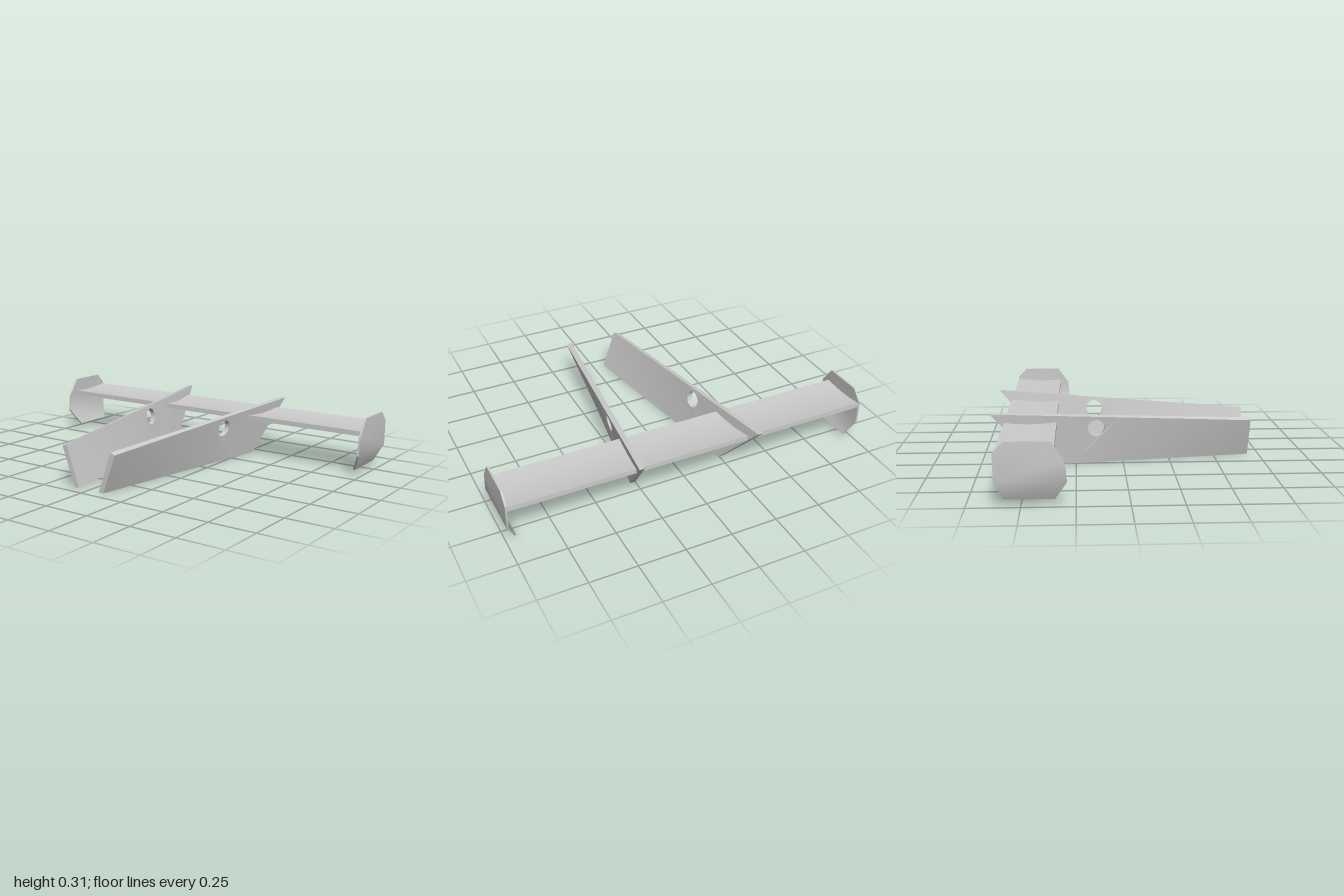
import * as THREE from 'three';
import { toCreasedNormals } from 'three/addons/utils/BufferGeometryUtils.js';
import { mergeGeometries } from 'three/addons/utils/BufferGeometryUtils.js';

const grey = new THREE.MeshStandardMaterial({ color: 0xcccccc });

function polygon(points) {
  return new THREE.Shape(points.map(([z, y]) => new THREE.Vector2(z, y)));
}

// Extrudes a side profile drawn in (z, y) symmetrically along x
function slab(shape, thickness) {
  const g = new THREE.ExtrudeGeometry(shape, { depth: thickness, bevelEnabled: false, curveSegments: 20 });
  g.translate(0, 0, -thickness / 2);
  g.rotateY(-Math.PI / 2);
  return g;
}

// Moves every vertex by a rule
function warp(geometry, rule) {
  const p = geometry.attributes.position;
  const v = new THREE.Vector3();
  for (let i = 0; i < p.count; i++) {
    rule(v.fromBufferAttribute(p, i));
    p.setXYZ(i, v.x, v.y, v.z);
  }
  geometry.computeVertexNormals();
  return geometry;
}

function part(name, geometry) {
  const mesh = new THREE.Mesh(toCreasedNormals(geometry, 0.5), grey);
  mesh.name = name;
  return mesh;
}

const topHeight = (z) => 0.215 + (0.69 - z) * 0.0545;

// Leaning, slightly twisted strut with a round hole
function strut(side) {
  const panel = (z0, z1) => polygon([[z1, 0], [z0, 0], [z0, topHeight(z0)], [z1, topHeight(z1)]]);
  const holed = panel(-0.02, -0.27);
  holed.holes.push(new THREE.Path().absarc(-0.145, 0.197, 0.045, 0, Math.PI * 2, true));
  const tail = polygon([[-0.435, 0], [-0.27, 0], [-0.27, topHeight(-0.27)], [-0.69, 0.29]]);
  const shapes = [panel(0.69, 0.33), panel(0.33, -0.02), holed, tail];
  const geometry = mergeGeometries(shapes.map((s) => slab(s, 0.028)));
  return warp(geometry, (v) => {
    const back = 0.69 - v.z;
    const bottom = 0.08 + 0.163 * back;
    const top = 0.155 + 0.127 * back;
    const t = v.y / topHeight(v.z);
    const outward = v.x * side;
    const lean = (top - bottom) / topHeight(v.z);
    v.x += side * (bottom + (top - bottom) * t);
    v.y -= (outward + 0.014) * lean * t;
  });
}

// End plate: upright upper panel, lower flap folded inwards
function endPlate(side) {
  const upper = polygon([[-0.62, 0.115], [-0.29, 0.115], [-0.3, 0.215], [-0.365, 0.305], [-0.57, 0.305], [-0.622, 0.25]]);
  const flap = polygon([[-0.582, 0.025], [-0.345, 0.025], [-0.29, 0.115], [-0.62, 0.115]]);
  const geometry = mergeGeometries([slab(upper, 0.01), slab(flap, 0.01)]);
  return warp(geometry, (v) => {
    v.x += side * (0.995 - Math.max(0, 0.115 - v.y) * 0.48);
  });
}

export function createModel() {
  const model = new THREE.Group();
  model.name = 'rearWing';

  // Gently dished wing blade
  const blade = new THREE.Shape();
  blade.moveTo(-0.62, 0.215);
  blade.quadraticCurveTo(-0.485, 0.192, -0.35, 0.209);
  blade.lineTo(-0.35, 0.235);
  blade.quadraticCurveTo(-0.485, 0.218, -0.62, 0.241);
  blade.closePath();
  model.add(part('wingBlade', slab(blade, 1.98)));

  for (const [label, side] of [['left', 1], ['right', -1]]) {
    model.add(part(label + 'Strut', strut(side)));
    model.add(part(label + 'EndPlate', endPlate(side)));
  }
  return model;
}
